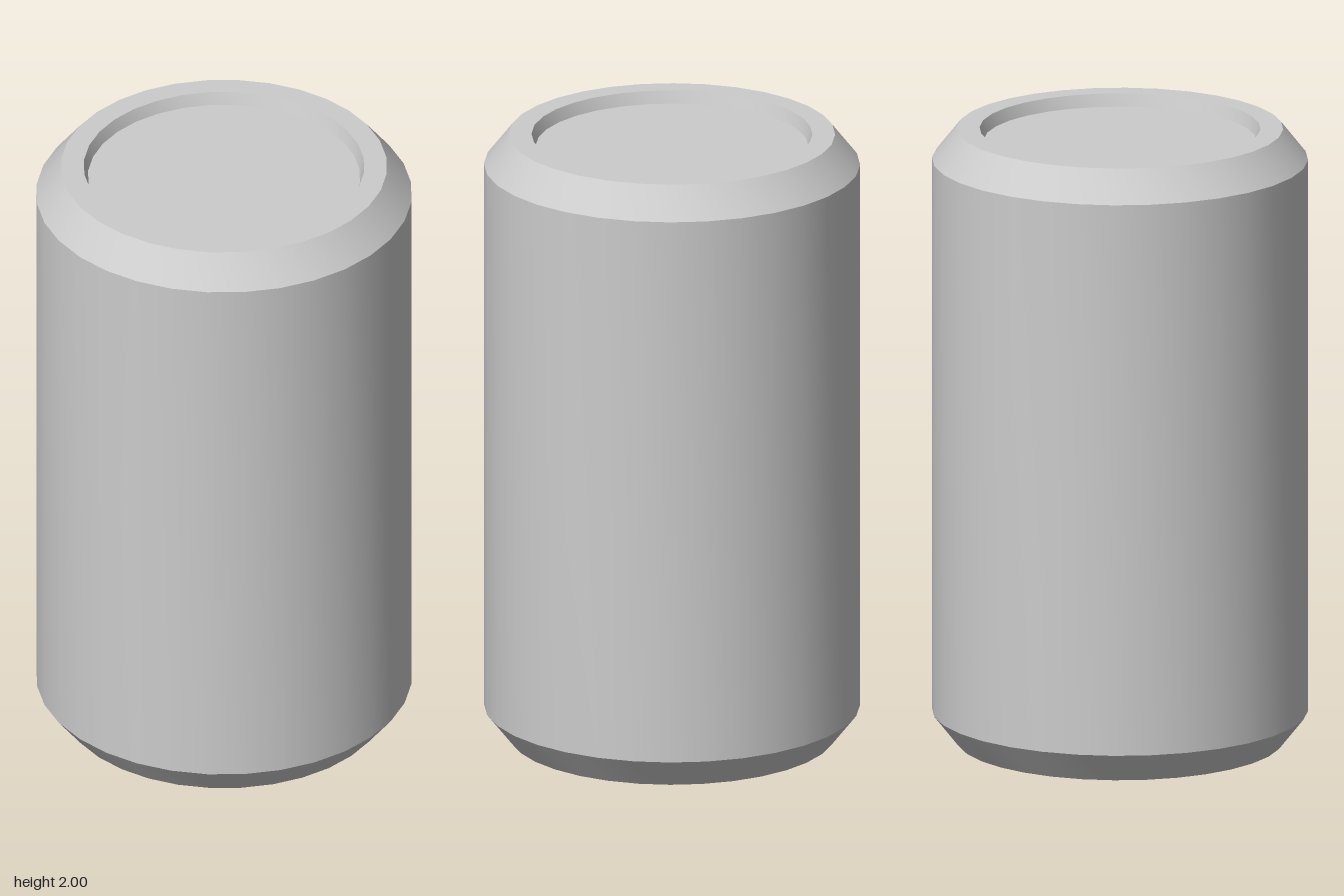
import * as THREE from 'three';
import { toCreasedNormals } from 'three/addons/utils/BufferGeometryUtils.js';

const SIDES = 32;
const HEIGHT = 2;
const LID_RADIUS = 0.432;
const RECESS = 0.04;

export function createModel() {
  const group = new THREE.Group();
  group.name = 'can';
  const material = new THREE.MeshStandardMaterial({ color: 0xcccccc });

  // Lower half of the wall: recess wall, rim, chamfer; mirrored for the upper half
  const lower = [[LID_RADIUS, RECESS], [0.445, 0], [0.517, 0], [0.596, 0.1]];
  const upper = lower.map(([r, y]) => [r, HEIGHT - y]).reverse();
  const profile = [...lower, ...upper].map(([r, y]) => new THREE.Vector2(r, y));
  const body = new THREE.Mesh(
    toCreasedNormals(new THREE.LatheGeometry(profile, SIDES), Math.PI / 6),
    material
  );
  body.name = 'body';
  group.add(body);

  // Sunken flat discs closing the two ends
  for (const [name, y, tilt] of [
    ['lid', HEIGHT - RECESS, -Math.PI / 2],
    ['base', RECESS, Math.PI / 2],
  ]) {
    const disc = new THREE.Mesh(new THREE.CircleGeometry(LID_RADIUS, SIDES), material);
    disc.name = name;
    disc.rotation.x = tilt;
    disc.position.y = y;
    group.add(disc);
  }

  return group;
}
